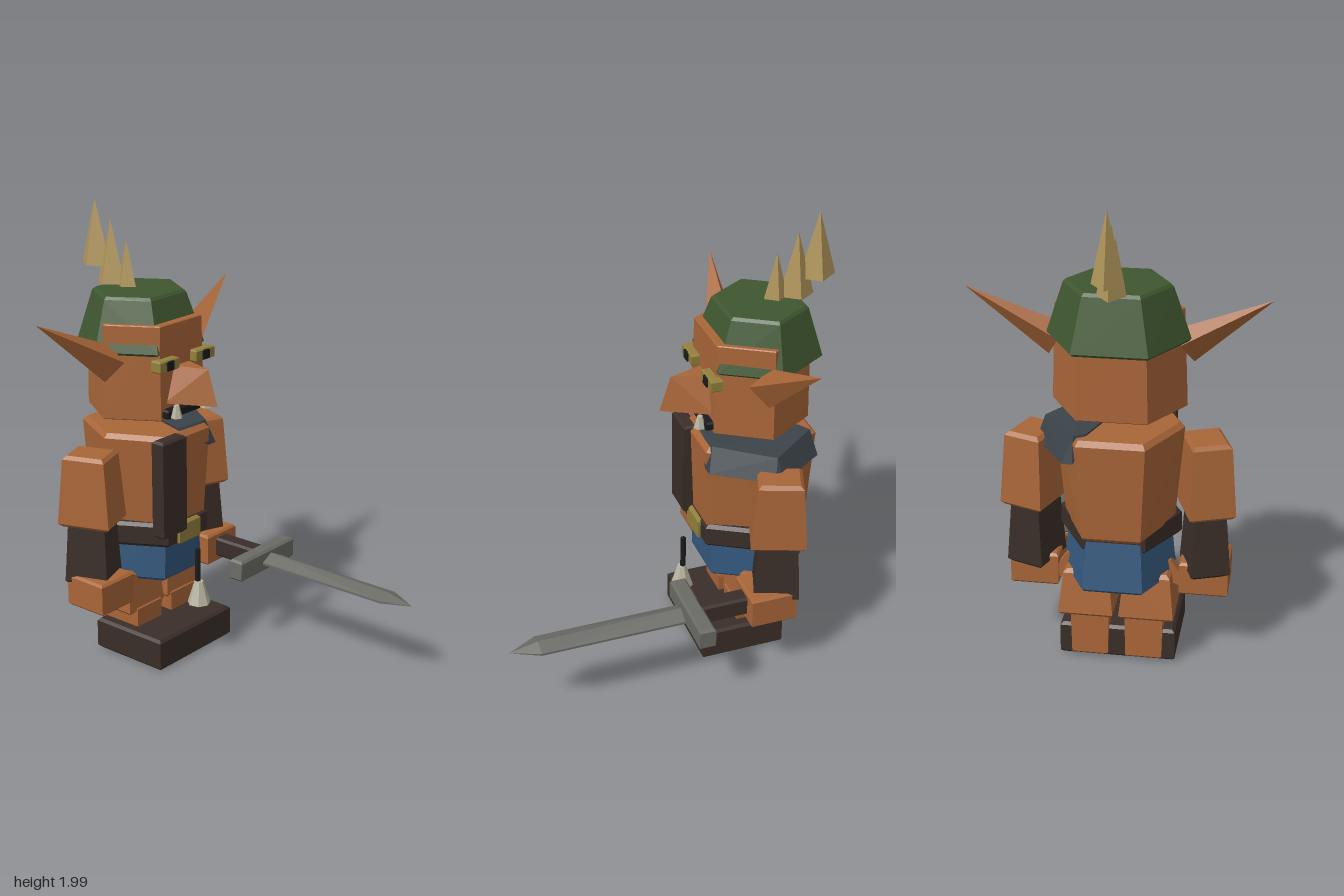
import * as THREE from 'three';
import { ConvexGeometry } from 'three/addons/geometries/ConvexGeometry.js';

const mat = (color) => new THREE.MeshStandardMaterial({ color, flatShading: true });
const M = {
  skin: mat(0xa86538), dark: mat(0x3a2e28), blue: mat(0x34577c), green: mat(0x3f5730),
  gold: mat(0xb0955a), brass: mat(0x93803c), steel: mat(0x6b6b66), slate: mat(0x3b4349),
  ivory: mat(0xb9b5a2), black: mat(0x1c1a1a),
};
const HEX = [[1, 0], [0.52, 1], [-0.52, 1], [-1, 0], [-0.52, -1], [0.52, -1]];
const QUAD = [[1, 1], [-1, 1], [-1, -1], [1, -1]];

export function createModel() {
  const root = new THREE.Group();

  const add = (name, geo, material, parent = root) => {
    const mesh = new THREE.Mesh(geo, material);
    mesh.name = name;
    parent.add(mesh);
    return mesh;
  };
  const hull = (name, pts, material, parent) =>
    add(name, new ConvexGeometry(pts.map((p) => new THREE.Vector3(...p))), material, parent);

  // Tapered prism with chamfered ends; each end is [y, halfX, halfZ, centreZ]
  const prism = (name, outline, lo, hi, material, { b = 0.015, x = 0, parent } = {}) => {
    const pts = [];
    const ring = ([y, hx, hz, cz], inset, dy) => {
      for (const [u, v] of outline) pts.push([x + u * (hx - inset), y + dy, cz + v * (hz - inset)]);
    };
    ring(lo, b, 0);
    ring(lo, 0, b);
    ring(hi, 0, -b);
    ring(hi, b, 0);
    return hull(name, pts, material, parent);
  };
  // Chamfered block given by its limits
  const block = (name, [x0, x1], [y0, y1], [z0, z1], material, b = 0.01) => {
    const hx = (x1 - x0) / 2, hz = (z1 - z0) / 2, cz = (z0 + z1) / 2;
    return prism(name, QUAD, [y0, hx, hz, cz], [y1, hx, hz, cz], material, { b, x: (x0 + x1) / 2 });
  };

  // Head and cap
  prism('head', HEX, [1.13, 0.27, 0.212, -0.41], [1.54, 0.255, 0.205, -0.41], M.skin, { b: 0.004 });
  prism('cap', HEX, [1.41, 0.285, 0.232, -0.435], [1.645, 0.215, 0.17, -0.44], M.green, { b: 0.012 });
  [[1.57, 1.845, -0.51, 0.052, 0.072], [1.64, 1.92, -0.6, 0.058, 0.08], [1.715, 2, -0.69, 0.062, 0.083]]
    .forEach(([y0, y1, z, rx, rz]) => hull('capSpike',
      [[rx, y0, z], [-rx, y0, z], [0, y0, z + rz], [0, y0, z - rz], [0, y1, z]], M.gold));

  // Face
  hull('nose', [[-0.105, 1.2, -0.21], [0.105, 1.2, -0.21], [0, 1.2, -0.005],
    [-0.05, 1.355, -0.21], [0.05, 1.355, -0.21], [0, 1.355, -0.055]], M.skin);
  block('mouth', [-0.13, 0.13], [1.14, 1.18], [-0.22, -0.165], M.black, 0.008);
  for (const s of [-1, 1]) {
    block('eye', [s * 0.115 - 0.06, s * 0.115 + 0.06], [1.35, 1.402], [-0.22, -0.167], M.brass, 0.006);
    block('pupil', [s * 0.115 - 0.02, s * 0.115 + 0.02], [1.355, 1.397], [-0.2, -0.16], M.black, 0.003);
    add('tusk', new THREE.CylinderGeometry(0.012, 0.026, 0.055, 6), M.ivory).position.set(s * 0.095, 1.175, -0.15);
    hull('ear', [[s * 0.6, 1.6, -0.45], [s * 0.23, 1.45, -0.4], [s * 0.25, 1.395, -0.3],
      [s * 0.29, 1.305, -0.375], [s * 0.24, 1.39, -0.44]], M.skin);
  }

  // Body, shoulder plate and chest strap
  prism('torso', HEX, [0.615, 0.225, 0.232, -0.415], [1.06, 0.262, 0.25, -0.415], M.skin, { b: 0.02 });
  hull('shoulderPlate', [
    [-0.03, 1.07, -0.2], [0.14, 1.07, -0.19], [0.3, 1.06, -0.42], [0.15, 1.07, -0.63], [0.1, 1.07, -0.6],
    [-0.03, 1.045, -0.18], [0.13, 0.96, -0.165], [0.18, 0.96, -0.165], [0.335, 0.96, -0.4],
    [0.335, 0.96, -0.44], [0.19, 0.96, -0.655], [0.15, 0.96, -0.655]], M.slate);
  block('chestStrap', [-0.2, -0.05], [0.62, 1.06], [-0.2, -0.135], M.dark);

  // Belt, buckle, hips and hanging bell
  prism('belt', HEX, [0.55, 0.25, 0.212, -0.385], [0.66, 0.25, 0.212, -0.385], M.dark);
  block('buckle', [-0.07, 0.07], [0.55, 0.65], [-0.21, -0.16], M.brass);
  prism('hips', HEX, [0.38, 0.235, 0.215, -0.42], [0.62, 0.21, 0.195, -0.4], M.blue);
  add('bellCord', new THREE.CylinderGeometry(0.013, 0.013, 0.16, 6), M.black).position.set(0, 0.44, -0.118);
  add('bell', new THREE.CylinderGeometry(0.02, 0.052, 0.105, 7), M.ivory).position.set(0, 0.318, -0.112);

  // Arms and legs, mirrored
  for (const s of [-1, 1]) {
    const arm = new THREE.Group();
    arm.name = s > 0 ? 'leftArm' : 'rightArm';
    arm.position.set(s * 0.35, 0, -0.415);
    arm.rotation.y = -s * 0.35;
    root.add(arm);
    prism('upperArm', QUAD, [0.68, 0.095, 0.118, 0], [1, 0.08, 0.095, 0], M.skin, { parent: arm });
    prism('forearm', QUAD, [0.41, 0.082, 0.098, 0], [0.7, 0.065, 0.085, 0], M.dark, { parent: arm });
    block('hand', [s * 0.35 - 0.1, s * 0.35 + 0.1], [0.31, 0.455], [-0.475, -0.27], M.skin);
    hull('thumb', [-0.46, -0.41].flatMap((z) => [[s * 0.26, 0.34, z], [s * 0.26, 0.39, z],
      [s * 0.215, 0.36, z], [s * 0.215, 0.46, z], [s * 0.19, 0.46, z], [s * 0.19, 0.38, z]]), M.skin);

    prism('thigh', QUAD, [0.22, 0.113, 0.125, -0.435], [0.42, 0.095, 0.105, -0.425], M.skin, { x: s * 0.125 });
    prism('shin', QUAD, [0.025, 0.075, 0.11, -0.42], [0.25, 0.08, 0.11, -0.415], M.skin, { x: s * 0.112, b: 0.01 });
  }
  block('footBase', [-0.24, 0.24], [0.01, 0.155], [-0.51, -0.13], M.dark, 0.012);

  // Sword
  const X = 0.35;
  block('swordGrip', [X - 0.04, X + 0.04], [0.34, 0.43], [-0.3, -0.04], M.dark);
  block('swordGuard', [X - 0.19, X + 0.19], [0.335, 0.432], [-0.07, 0.002], M.steel);
  hull('swordBlade', [
    ...[[0.02, 0.425], [0.65, 0.415]].flatMap(([z, y]) => [
      [X - 0.06, 0.385, z], [X + 0.06, 0.385, z], [X - 0.06, 0.395, z], [X + 0.06, 0.395, z], [X, y, z]]),
    [X, 0.385, 0.775]], M.steel);

  return root;
}
